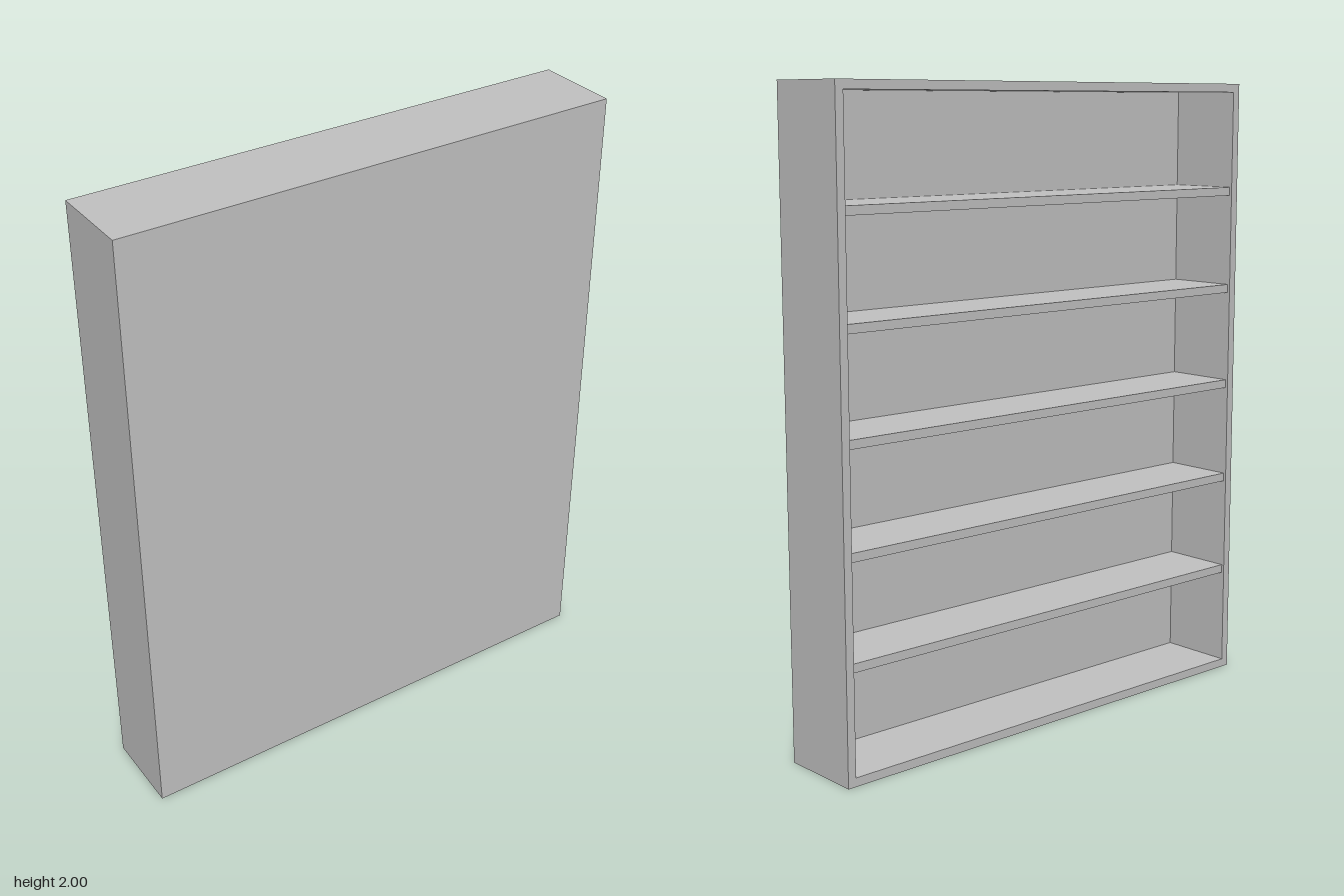
import * as THREE from 'three';

// Shelf unit: a closed panel at the front (+z), open compartments at the back (-z)
const W = 1.636, H = 2, D = 0.273, T = 0.0273;
const SHELVES = 5, RECESS = 0.009;

export function createModel() {
  const model = new THREE.Group();
  model.name = 'shelfUnit';
  const grey = new THREE.MeshStandardMaterial({ color: 0xc2c2c2 });
  grey.name = 'lightGrey';

  const board = (name, w, h, d, x, y, z) => {
    const mesh = new THREE.Mesh(new THREE.BoxGeometry(w, h, d), grey);
    mesh.name = name;
    mesh.position.set(x, y, z);
    model.add(mesh);
  };

  // Sides, between the top and bottom boards
  for (const [name, s] of [['leftSide', 1], ['rightSide', -1]]) {
    board(name, T, H - 2 * T, D, s * (W - T) / 2, H / 2, 0);
  }

  // Top and bottom boards
  board('topBoard', W, T, D, 0, H - T / 2, 0);
  board('bottomBoard', W, T, D, 0, T / 2, 0);

  // Closed panel, set between the other boards
  board('panel', W - 2 * T, H - 2 * T, T, 0, H / 2, (D - T) / 2);

  // Evenly spaced shelves, set slightly back from the open side
  const pitch = (H - 2 * T) / (SHELVES + 1);
  for (let i = 1; i <= SHELVES; i++) {
    board('shelf' + i, W - 2 * T, T, D - T - RECESS, 0, T + i * pitch, (RECESS - T) / 2);
  }

  return model;
}
